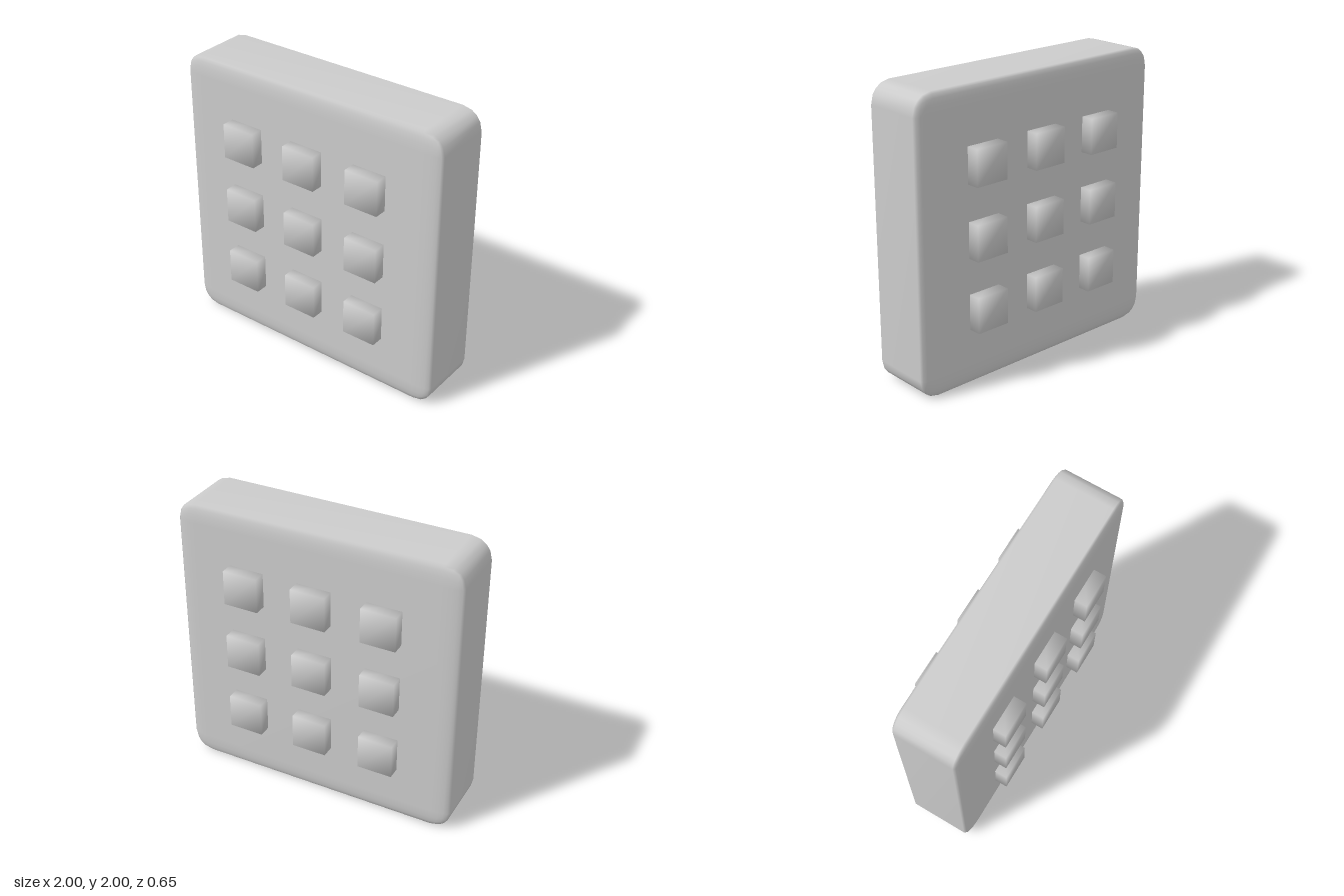
import * as THREE from 'three';
import { mergeVertices } from 'three/addons/utils/BufferGeometryUtils.js';
import { RoundedBoxGeometry } from 'three/addons/geometries/RoundedBoxGeometry.js';

// Weld the corners so the shading runs smoothly over the edges.
function smooth(geometry) {
  geometry.deleteAttribute('normal');
  geometry.deleteAttribute('uv');
  geometry.clearGroups();
  const welded = mergeVertices(geometry, 1e-4);
  welded.computeVertexNormals();
  return welded;
}

export function createModel() {
  const group = new THREE.Group();
  const material = new THREE.MeshStandardMaterial({ color: 0xcccccc });

  // Square slab: a rounded cube flattened in depth, so its front edges are shallow
  const slabGeometry = new RoundedBoxGeometry(2, 2, 2, 2, 0.14);
  slabGeometry.scale(1, 1, 0.235);
  const slab = new THREE.Mesh(smooth(slabGeometry), material);
  slab.name = 'slab';
  slab.position.y = 1;
  group.add(slab);

  // Three by three grid of square studs on the front and the back
  const studGeometry = smooth(new THREE.BoxGeometry(0.244, 0.244, 0.16));
  for (const side of [1, -1]) {
    const studs = new THREE.Group();
    studs.name = side > 0 ? 'frontStuds' : 'backStuds';
    for (let row = -1; row <= 1; row++) {
      for (let column = -1; column <= 1; column++) {
        const stud = new THREE.Mesh(studGeometry, material);
        stud.name = 'stud';
        stud.position.set(column * 0.491, 1.005 + row * 0.491, side * 0.243);
        if (side < 0) stud.rotation.y = Math.PI;
        studs.add(stud);
      }
    }
    group.add(studs);
  }
  return group;
}
